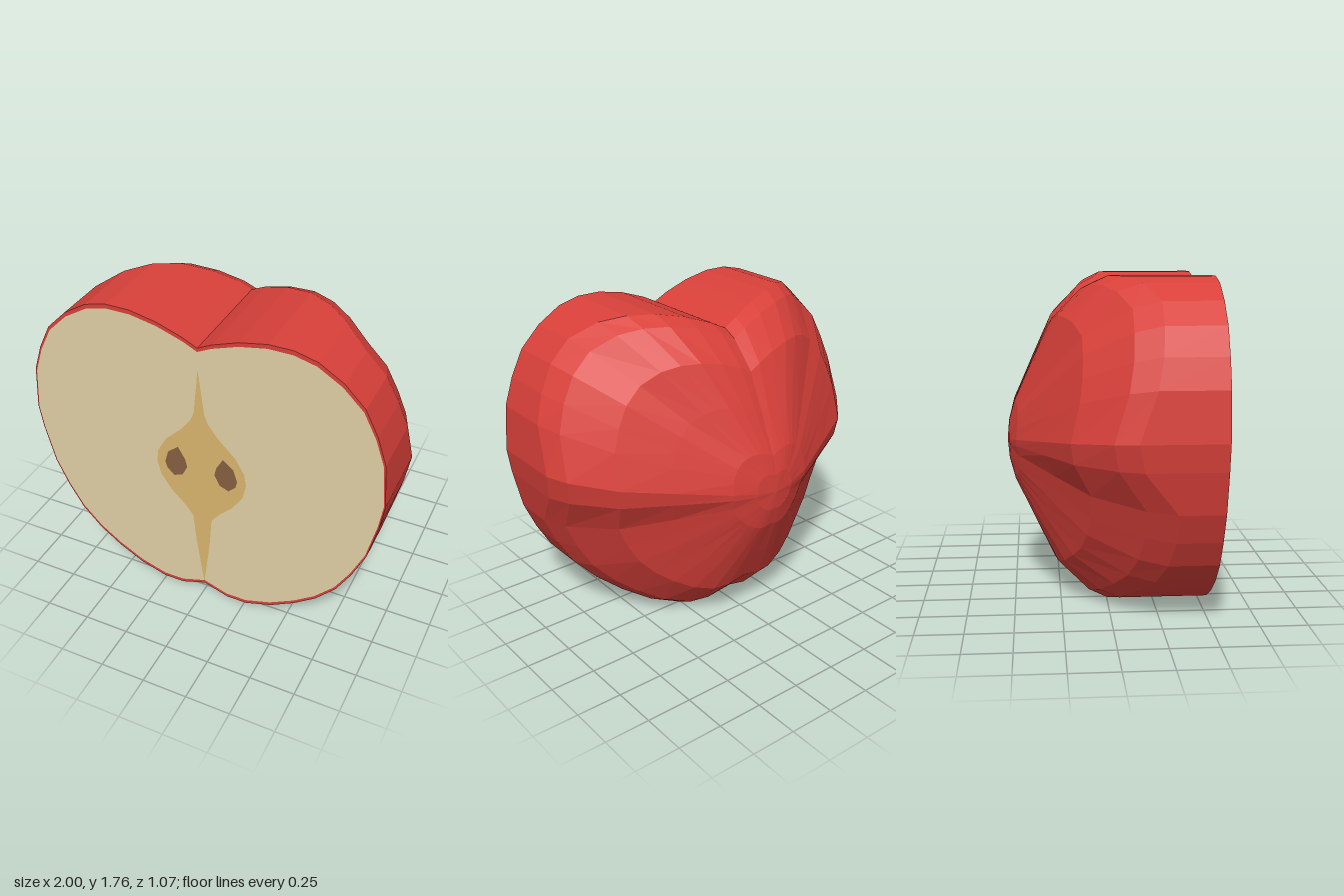
import * as THREE from 'three';

const FRONT = 0.53;
const CENTRE = [0, 0.85];

// Half outline from top notch down to the base: x, y, depth where the wall meets the rounded back
const HALF = [
  [0, 1.64, -0.1], [0.08, 1.68, -0.09], [0.22, 1.73, -0.05], [0.37, 1.76, 0], [0.5, 1.76, 0.07],
  [0.62, 1.73, 0.15], [0.75, 1.65, 0.23], [0.86, 1.54, 0.23], [0.93, 1.4, 0.22], [0.98, 1.25, 0.19],
  [1, 1.0, 0.1], [0.98, 0.86, 0.13], [0.93, 0.64, 0.3], [0.86, 0.48, 0.3], [0.78, 0.34, 0.27],
  [0.67, 0.22, 0.22], [0.55, 0.13, 0.14], [0.41, 0.05, 0.06], [0.26, 0, 0], [0.14, 0, -0.03], [0, 0.05, -0.07],
];

// Radial fraction and relative rise of the rings of the back
const RINGS = [[0, 0], [0.12, 0.02], [0.25, 0.08], [0.52, 0.3], [0.77, 0.51], [0.95, 0.82], [1, 1]];

// Mirrors a half outline across x = 0
function mirrored(half) {
  const other = half.slice(1, -1).reverse().map(([x, ...rest]) => [-x, ...rest]);
  return [...half, ...other];
}

// Rounded back and straight side wall as one lofted skin
function skinGeometry(outline) {
  const n = outline.length;
  const rows = RINGS.map(([t, rise]) => outline.map(([x, y, z]) => [
    x * t,
    CENTRE[1] + (y - CENTRE[1]) * t,
    -0.535 + rise * (z + 0.535),
  ]));
  rows.push(outline.map(([x, y]) => [x, y, FRONT]));
  const index = [];
  for (let r = 0; r < rows.length - 1; r++) {
    for (let i = 0; i < n; i++) {
      const j = (i + 1) % n;
      const a = r * n + i, b = (r + 1) * n + i, c = (r + 1) * n + j, d = r * n + j;
      index.push(a, b, c);
      if (r > 0) index.push(a, c, d);
    }
  }
  const geometry = new THREE.BufferGeometry();
  geometry.setAttribute('position', new THREE.Float32BufferAttribute(rows.flat(2), 3));
  geometry.setIndex(index);
  geometry.computeVertexNormals();
  return geometry;
}

export function createModel() {
  const group = new THREE.Group();
  group.name = 'halvedApple';

  const material = (color) => new THREE.MeshStandardMaterial({ color, flatShading: true });
  const red = material(0xd9403a);
  const cream = material(0xe0cfa5);
  const tan = material(0xd9b56e);
  const brown = material(0x865f42);

  const add = (name, geometry, mat, z = 0) => {
    const mesh = new THREE.Mesh(geometry, mat);
    mesh.name = name;
    mesh.position.z = z;
    group.add(mesh);
  };
  const flat = (points) =>
    new THREE.ShapeGeometry(new THREE.Shape(points.map(([x, y]) => new THREE.Vector2(x, y))));

  // Peel with its thin rim around the cut
  const outline = mirrored(HALF);
  add('peel', skinGeometry(outline), red);
  add('peelRim', flat(outline), red, FRONT);

  // Cut flesh, slightly inside the rim
  const flesh = outline.map(([x, y]) => [x * 0.992, 0.88 + (y - 0.88) * 0.974]);
  add('flesh', flat(flesh), cream, FRONT + 0.002);

  // Core
  const core = mirrored([
    [0, 1.52], [0.03, 1.25], [0.05, 1.2], [0.1, 1.13], [0.2, 1.03], [0.25, 0.94], [0.26, 0.87],
    [0.24, 0.78], [0.18, 0.69], [0.1, 0.61], [0.055, 0.55], [0.04, 0.37], [0, 0.06],
  ]);
  add('core', flat(core), tan, FRONT + 0.0035);

  // Pair of seeds
  const seed = [
    [0.13, 1.0], [0.19, 0.95], [0.21, 0.88], [0.2, 0.84], [0.16, 0.8],
    [0.11, 0.82], [0.08, 0.88], [0.09, 0.93],
  ].map(([x, y]) => [x, y]);
  for (const side of [1, -1]) {
    const points = seed.map(([x, y]) => [x * side, y]);
    add(side > 0 ? 'leftSeed' : 'rightSeed', flat(points), brown, FRONT + 0.005);
  }

  return group;
}
